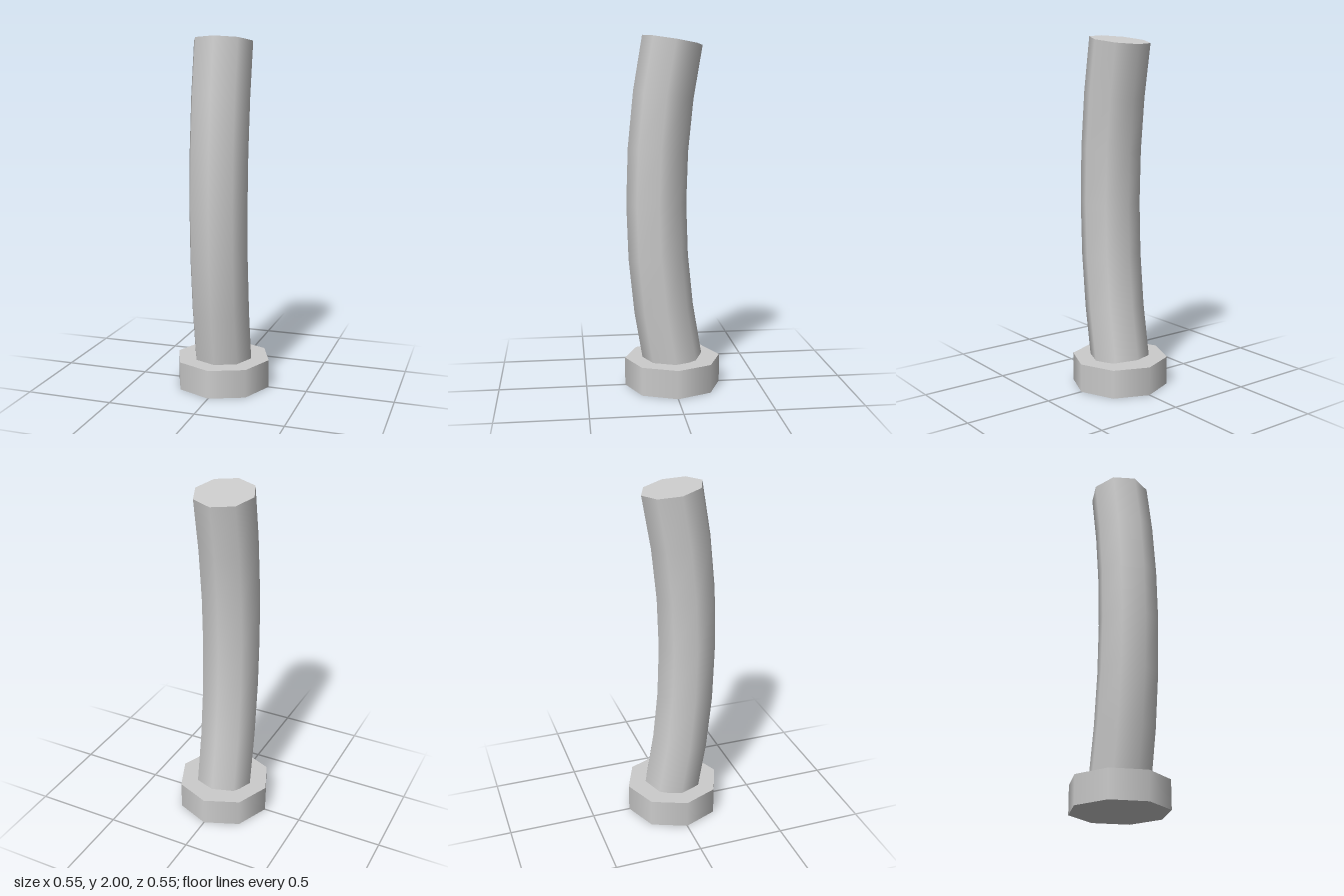
import * as THREE from 'three';

const material = new THREE.MeshStandardMaterial({ color: 0xcccccc });

// Straight octagonal cylinder bent backwards at both ends along a circular arc
function bentShaft(radius, length, sag, segments) {
  const half = length / 2;
  const bendRadius = (half * half + sag * sag) / (2 * sag);
  const endAngle = Math.asin(half / bendRadius);
  const endTilt = THREE.MathUtils.degToRad(9);
  const geometry = new THREE.CylinderGeometry(radius, radius, length, 8, segments);
  const { position, normal } = geometry.attributes;
  const xAxis = new THREE.Vector3(1, 0, 0);
  const p = new THREE.Vector3();
  const n = new THREE.Vector3();
  for (let i = 0; i < position.count; i++) {
    p.fromBufferAttribute(position, i);
    n.fromBufferAttribute(normal, i);
    const angle = (p.y / half) * endAngle;
    const tilt = THREE.MathUtils.clamp(angle, -endTilt, endTilt);
    p.y = 0;
    p.applyAxisAngle(xAxis, -tilt);
    p.y += bendRadius * Math.sin(angle);
    p.z += sag - bendRadius * (1 - Math.cos(angle));
    n.applyAxisAngle(xAxis, -tilt);
    position.setXYZ(i, p.x, p.y, p.z);
    normal.setXYZ(i, n.x, n.y, n.z);
  }
  return geometry;
}

export function createModel() {
  const group = new THREE.Group();
  group.name = 'bentBolt';

  // Octagonal head the shaft stands on
  const baseHeight = 0.163;
  const base = new THREE.Mesh(new THREE.CylinderGeometry(0.276, 0.276, baseHeight, 8), material);
  base.name = 'base';
  base.position.y = baseHeight / 2;
  group.add(base);

  // Curved shaft, bulging towards the front
  const shaft = new THREE.Mesh(bentShaft(0.171, 1.823, 0.092, 6), material);
  shaft.name = 'shaft';
  shaft.position.set(0, 1.062, -0.001);
  group.add(shaft);

  return group;
}
